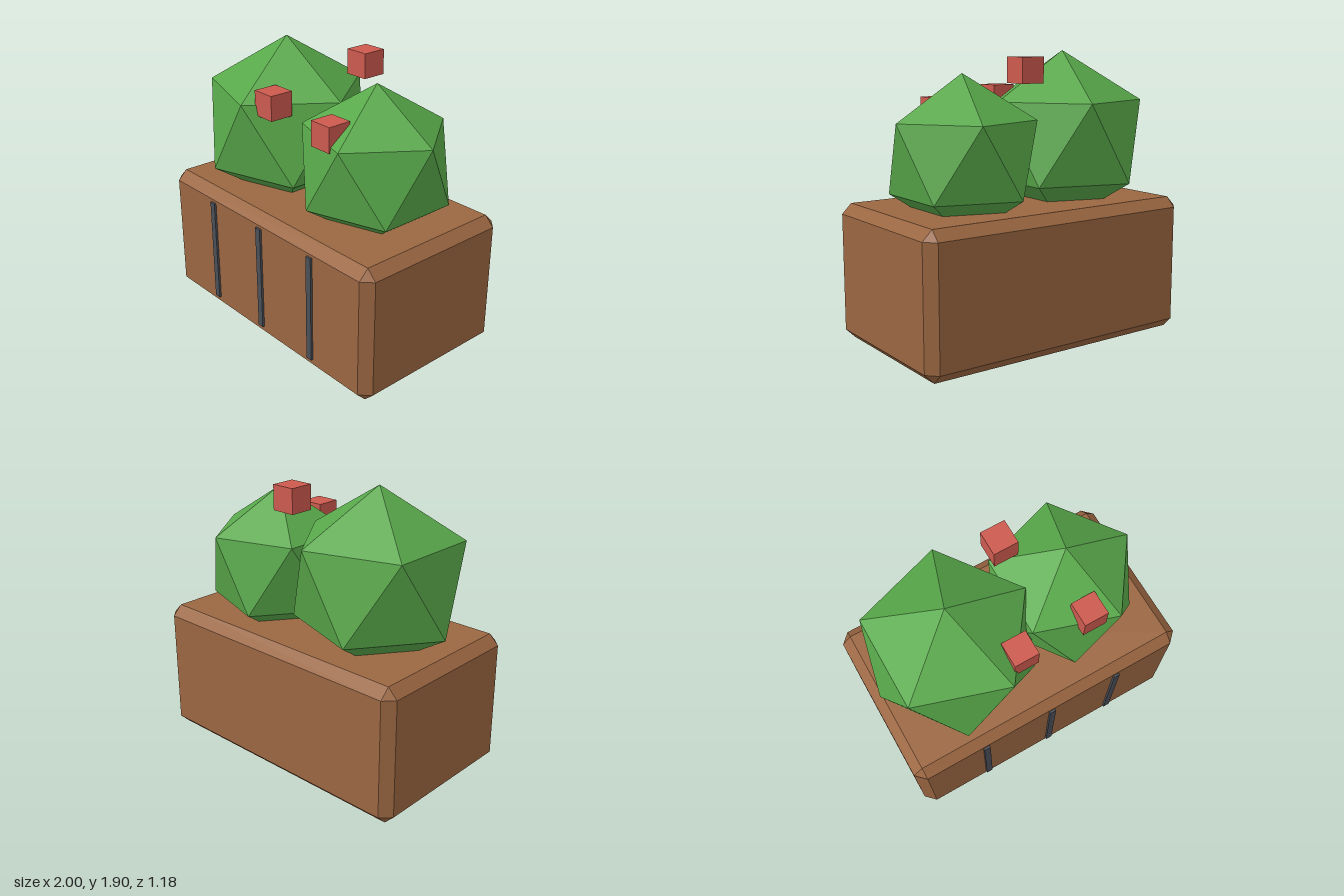
import * as THREE from 'three';
import { ConvexGeometry } from 'three/addons/geometries/ConvexGeometry.js';

const material = (name, color) => {
  const m = new THREE.MeshStandardMaterial({ color, flatShading: true });
  m.name = name;
  return m;
};

// Box with every edge cut at 45 degrees
function chamferedBox(w, h, d, c) {
  const points = [];
  for (const x of [-1, 1]) for (const y of [-1, 1]) for (const z of [-1, 1]) {
    const [a, b, e] = [w / 2, h / 2, d / 2];
    points.push(
      new THREE.Vector3(x * a, y * (b - c), z * (e - c)),
      new THREE.Vector3(x * (a - c), y * b, z * (e - c)),
      new THREE.Vector3(x * (a - c), y * (b - c), z * e));
  }
  return new ConvexGeometry(points);
}

export function createModel() {
  const group = new THREE.Group();
  const wood = material('wood brown', 0x9a6641);
  const leaf = material('leaf green', 0x58a84a);
  const berry = material('berry red', 0xcc5a4e);
  const iron = material('slat grey', 0x4a4f58);

  const add = (name, geometry, mat, x, y, z) => {
    const mesh = new THREE.Mesh(geometry, mat);
    mesh.name = name;
    mesh.position.set(x, y, z);
    group.add(mesh);
    return mesh;
  };

  // Planter box
  add('planter', chamferedBox(2, 0.917, 1.165, 0.066), wood, 0, 0.4585, -0.0075);

  // Vertical slats on the front
  const slat = new THREE.BoxGeometry(0.045, 0.73, 0.04);
  for (const x of [-0.5, 0, 0.5]) add('slat', slat, iron, x, 0.467, 0.57);

  // Bushes: icosahedra turned to stand on a point
  const tilt = -Math.atan(2 / (1 + Math.sqrt(5)));
  for (const [r, x, y, z] of [[0.6, -0.415, 1.305, -0.01], [0.53, 0.415, 1.238, -0.042]]) {
    add('bush', new THREE.IcosahedronGeometry(r, 0).rotateZ(tilt), leaf, x, y, z);
  }

  // Square berries
  const cube = new THREE.BoxGeometry(0.165, 0.165, 0.165);
  for (const [x, y, z] of [[0.082, 1.787, -0.258], [-0.12, 1.588, 0.34], [0.383, 1.52, 0.307]]) {
    add('berry', cube, berry, x, y, z);
  }
  return group;
}
